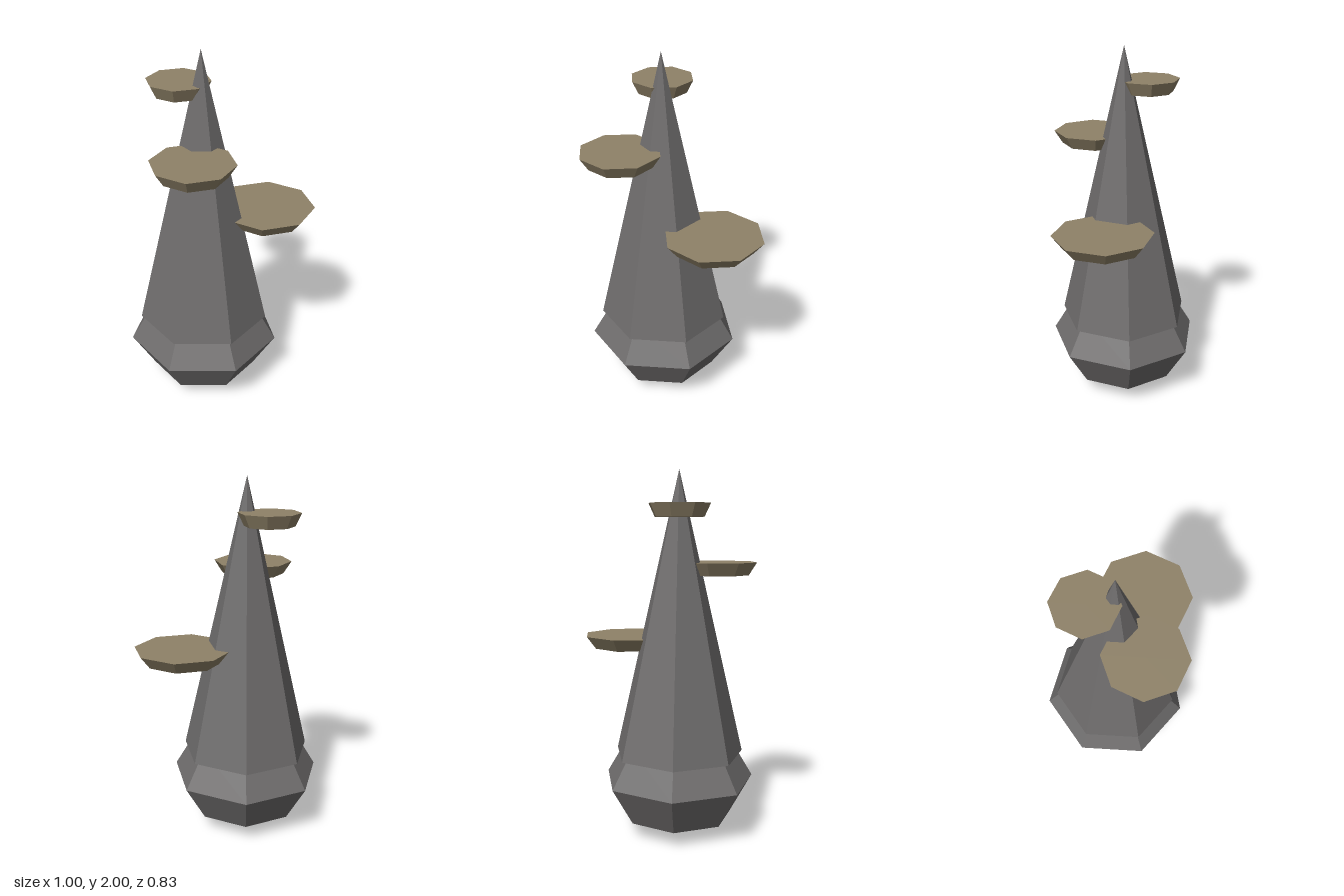
import * as THREE from 'three';

export function createModel() {
  const stone = new THREE.MeshStandardMaterial({ color: 0x6f6d6d, flatShading: true });
  stone.name = 'grey stone';
  const ledge = new THREE.MeshStandardMaterial({ color: 0x8f8268, flatShading: true });
  ledge.name = 'tan ledge';

  const model = new THREE.Group();
  model.name = 'rockSpire';
  const axisX = -0.105;

  function add(name, geometry, material, x, y, z) {
    const mesh = new THREE.Mesh(geometry, material);
    mesh.name = name;
    mesh.position.set(x, y, z);
    model.add(mesh);
    return mesh;
  }

  // Squashed seven-sided boulder, one corner pointing to +x
  const base = new THREE.SphereGeometry(0.425, 7, 4);
  base.rotateY(Math.PI).scale(1, 0.7, 1);
  add('baseBoulder', base, stone, axisX, 0.2975, 0);

  // Tall seven-sided spire overhanging the boulder slightly
  const spire = new THREE.ConeGeometry(0.365, 1.555, 7);
  spire.rotateY(Math.PI / 2);
  add('spire', spire, stone, axisX, 0.445 + 1.555 / 2, 0);

  // Eight-sided ledges, narrower underneath: x, y, z, radius
  const ledges = [
    ['lowerLedge', 0.227, 1.047, 0.138, 0.273],
    ['middleLedge', -0.28, 1.47, 0.157, 0.221],
    ['upperLedge', -0.148, 1.782, -0.134, 0.169],
  ];
  for (const [name, x, y, z, r] of ledges) {
    add(name, new THREE.CylinderGeometry(r, r * 0.8, 0.07, 8), ledge, x, y, z);
  }

  return model;
}
